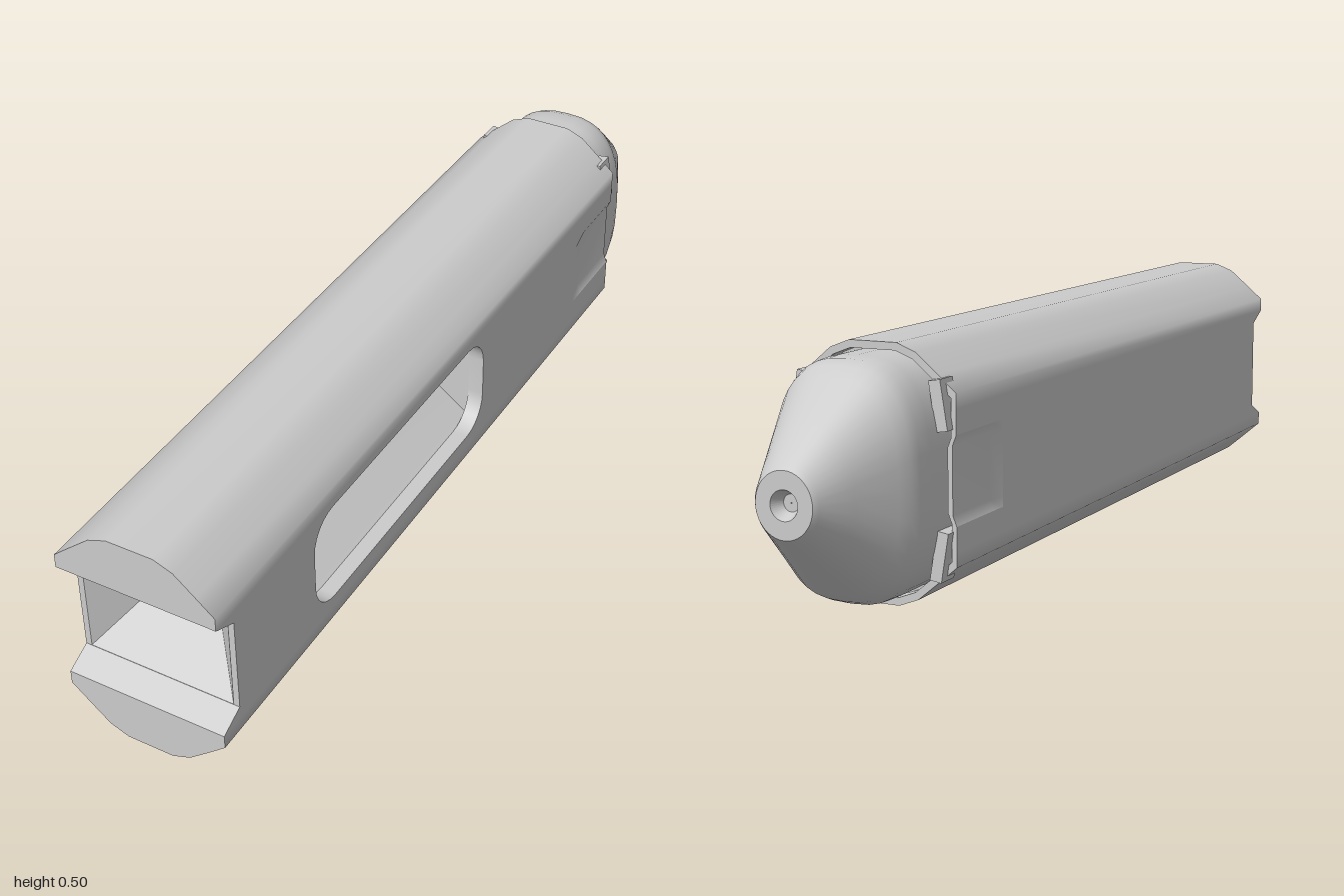
import * as THREE from 'three';

const MID = 0.2475;              // height of the long axis
const W = 0.172;                 // half width of the body
const FRONT = 1, REAR = -0.69, MOUTH = 0.945;
const mat = new THREE.MeshStandardMaterial({ color: 0xcccccc, side: THREE.DoubleSide });

// upper arch of the body section, x and height above the axis, from +x to -x
const half = [[W, 0.1325], [W, 0.162], [0.135, 0.194], [0.09, 0.232], [0.05, 0.2475]];
const arch = [...half, ...half.map(([x, y]) => [-x, y]).reverse()];

function add(parent, name, geo) {
  const m = new THREE.Mesh(geo, mat);
  m.name = name;
  parent.add(m);
  return m;
}

// surface through rows of points with smooth normals; closed joins each row's ends
function loft(rows, closed = false) {
  const n = rows[0].length, idx = [];
  const span = closed ? n : n - 1;
  for (let r = 0; r < rows.length - 1; r++) {
    for (let i = 0; i < span; i++) {
      const a = r * n + i, b = r * n + (i + 1) % n;
      idx.push(a, b, a + n, b, b + n, a + n);
    }
  }
  const g = new THREE.BufferGeometry();
  g.setAttribute('position', new THREE.Float32BufferAttribute(rows.flat(2), 3));
  g.setIndex(idx);
  g.computeVertexNormals();
  return g;
}

// flat-shaded loft for pockets and bevels
const facets = (rows, closed) => {
  const g = loft(rows, closed).toNonIndexed();
  g.computeVertexNormals();
  return g;
};

const shapeOf = pts => new THREE.Shape(pts.map(p => new THREE.Vector2(...p)));

// rounded rectangle points, clockwise independent
function roundedRect(u0, u1, v0, v1, r, seg = 6) {
  const pts = [];
  [[u1 - r, v1 - r], [u0 + r, v1 - r], [u0 + r, v0 + r], [u1 - r, v0 + r]].forEach(([cu, cv], k) => {
    for (let i = 0; i <= seg; i++) {
      const a = (k + i / seg) * Math.PI / 2;
      pts.push([cu + r * Math.cos(a), cv + r * Math.sin(a)]);
    }
  });
  return pts;
}

// superellipse ring around the long axis
function ring(z, a, b, e, n = 40) {
  const f = t => Math.sign(t) * Math.pow(Math.abs(t), 2 / e);
  return Array.from({ length: n }, (_, i) => {
    const t = i / n * Math.PI * 2;
    return [a * f(Math.cos(t)), MID + b * f(Math.sin(t)), z];
  });
}

export function createModel() {
  const group = new THREE.Group();
  const body = new THREE.Group();
  body.name = 'body';
  group.add(body);

  // arched top and bottom with front faces and bevelled lips
  for (const s of [1, -1]) {
    const side = s > 0 ? 'top' : 'bottom';
    const row = z => arch.map(([x, y]) => [x, MID + s * y, z]);
    const zs = [FRONT, REAR];
    if (s < 0) zs.reverse();
    add(body, side + 'Shell', loft(zs.map(row)));
    const face = add(body, side + 'FrontFace', new THREE.ShapeGeometry(shapeOf(arch.map(([x, y]) => [x, MID + s * y]))));
    face.position.z = FRONT;
    add(body, side + 'Lip', facets([
      [[-W, MID + s * 0.1325, FRONT], [W, MID + s * 0.1325, FRONT]],
      [[-W, MID + s * 0.106, MOUTH], [W, MID + s * 0.106, MOUTH]],
    ]));
  }

  // flat side walls; outline in z and y, with front slot and shallow rear recess
  const win = roundedRect(-0.03, 0.67, 0.137, 0.363, 0.07);
  const h = 0.1325, recess = 0.008, rz = -0.5, ry = 0.085;
  for (const s of [1, -1]) {
    const name = s > 0 ? 'left' : 'right';
    const wall = shapeOf([
      [FRONT, MID + h], [MOUTH, MID + 0.106], [MOUTH, MID - 0.106], [FRONT, MID - h],
      [REAR, MID - h], [REAR, MID - ry], [rz, MID - ry], [rz, MID + ry], [REAR, MID + ry], [REAR, MID + h],
    ]);
    if (s > 0) wall.holes.push(new THREE.Path(win.map(p => new THREE.Vector2(...p))));
    const g = new THREE.ShapeGeometry(wall);
    g.rotateY(-Math.PI / 2);     // shape x becomes z
    g.translate(s * W, 0, 0);
    add(body, name + 'Wall', g);
    const strip = z => {
      const d = z < rz ? recess : 0;
      return [[W, ry], [W - d, ry - 0.02], [W - d, -ry + 0.02], [W, -ry]].map(([x, y]) => [s * x, MID + y, z]);
    };
    add(body, name + 'RearRecess', loft([rz, -0.54, REAR].map(strip)));
  }

  // side window: straight rim, then a V-shaped trough
  const wx = 0.138;
  add(body, 'windowRim', loft([W, wx].map(x => win.map(([z, y]) => [x, y, z])), true));
  add(body, 'windowTrough', loft([
    [-0.03, 0.67].map(z => [wx, 0.363, z]),
    [-0.03, 0.67].map(z => [0.03, 0.28, z]),
    [-0.03, 0.67].map(z => [0, MID, z]),
    [-0.03, 0.67].map(z => [0.03, 0.217, z]),
    [-0.03, 0.67].map(z => [wx, 0.137, z]),
  ]));
  for (const z of [-0.03, 0.67]) {
    const end = new THREE.ShapeGeometry(shapeOf([[wx, 0.363], [0.03, 0.28], [0, MID], [0.03, 0.217], [wx, 0.137]]));
    add(body, 'windowTroughEnd', end).position.z = z;
  }

  // front mouth: thin frame and a wedge closing to a horizontal line
  const rect = (x, y, z) => [[-x, MID - y, z], [x, MID - y, z], [x, MID + y, z], [-x, MID + y, z]];
  add(body, 'mouthFrame', facets([rect(W, 0.106, MOUTH), rect(0.159, 0.105, MOUTH)], true));
  add(body, 'mouthWedge', facets([rect(0.159, 0.105, MOUTH), rect(0.075, 0.0005, 0.85)], true));

  // rear rim with an inner wall
  const outer = [
    ...arch.map(([x, y]) => [x, y]),
    [-W, ry], [-W + recess, ry - 0.02], [-W + recess, -ry + 0.02], [-W, -ry],
    ...arch.map(([x, y]) => [-x, -y]),
    [W, -ry], [W - recess, -ry + 0.02], [W - recess, ry - 0.02], [W, ry],
  ];
  const at = (z, k) => outer.map(([x, y]) => [x * k, MID + y * k, z]);
  add(body, 'rearRim', facets([at(REAR, 1), at(REAR, 0.94)], true));
  add(body, 'rearInnerWall', loft([at(REAR, 0.94), at(-0.65, 0.94)], true));
  add(body, 'rearFloor', facets([at(-0.65, 0.94), at(-0.65, 0.4)], true));

  // nose: rounded shoulder tapering to a small round tip
  const nose = new THREE.Group();
  nose.name = 'nose';
  group.add(nose);
  add(nose, 'noseCone', loft([
    ring(-0.65, 0.149, 0.229, 2.8), ring(-0.74, 0.148, 0.229, 2.8), ring(-0.78, 0.147, 0.227, 2.75),
    ring(-0.805, 0.142, 0.217, 2.7), ring(-0.83, 0.132, 0.199, 2.6), ring(-0.92, 0.095, 0.128, 2.3),
    ring(-0.99, 0.065, 0.071, 2), ring(-1, 0.058, 0.062, 2),
  ], true));
  add(nose, 'noseTip', facets([ring(-1, 0.058, 0.062, 2), ring(-1, 0.028, 0.028, 2)], true));
  add(nose, 'tipRecess', facets([ring(-1, 0.028, 0.028, 2), ring(-0.975, 0.016, 0.016, 2), ring(-0.975, 0.001, 0.001, 2)], true));

  // four small clips between the body and the nose
  for (const sx of [1, -1]) for (const sy of [1, -1]) {
    const clip = add(group, 'clip', new THREE.BoxGeometry(0.024, 0.095, 0.05));
    clip.position.set(sx * 0.146, MID + sy * 0.14, -0.686);
    clip.rotation.z = sx * sy * 0.16;
  }
  return group;
}
